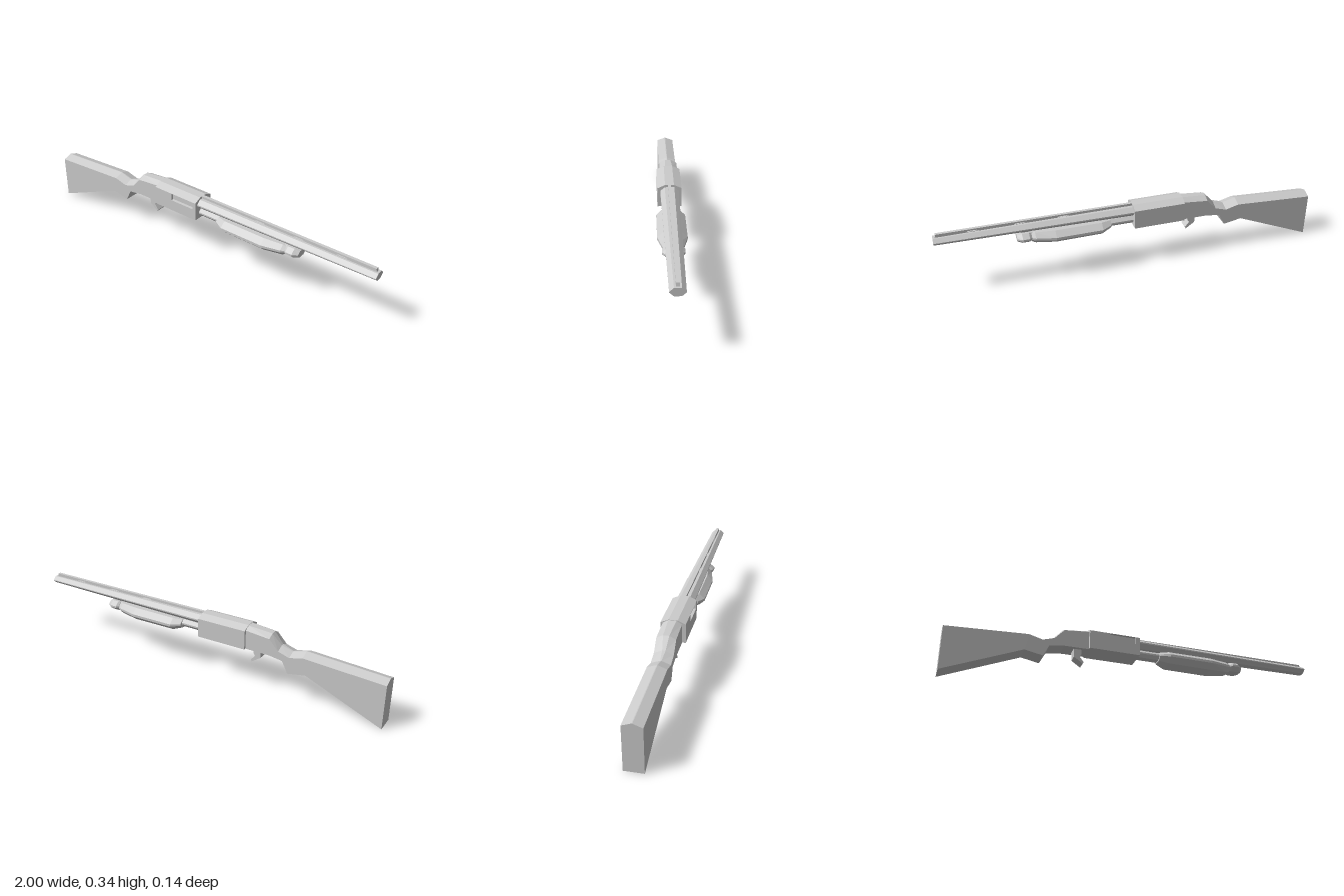
import * as THREE from 'three';

const material = new THREE.MeshStandardMaterial({ color: 0xcccccc, flatShading: true, side: THREE.DoubleSide });

function addMesh(group, name, geometry) {
  const mesh = new THREE.Mesh(geometry, material);
  mesh.name = name;
  group.add(mesh);
  return mesh;
}

// Skin a row of closed sections running along +x; each section is a list of [x, y, z].
function loft(sections) {
  const out = [];
  const tri = (...pts) => pts.forEach(p => out.push(...p));
  const n = sections[0].length;
  for (let i = 0; i < sections.length - 1; i++) {
    for (let j = 0; j < n; j++) {
      const k = (j + 1) % n;
      const a = sections[i][j], d = sections[i][k];
      const b = sections[i + 1][j], c = sections[i + 1][k];
      tri(a, d, c);
      tri(a, c, b);
    }
  }
  const cap = (s, flip) => {
    const mid = [0, 1, 2].map(q => s.reduce((t, p) => t + p[q], 0) / n);
    s.forEach((p, j) => {
      const next = s[(j + 1) % n];
      if (flip) tri(mid, next, p);
      else tri(mid, p, next);
    });
  };
  cap(sections[0], true);
  cap(sections[sections.length - 1], false);
  const g = new THREE.BufferGeometry();
  g.setAttribute('position', new THREE.Float32BufferAttribute(out, 3));
  g.computeVertexNormals();
  return g;
}

// Eight-sided section: half widths of flat and side, heights of bottom, top and the side facets.
function octagon(x, flat, wide, bottom, top, low = 0.4, high = 0.6) {
  const yl = bottom + (top - bottom) * low, yh = bottom + (top - bottom) * high;
  return [[x, top, flat], [x, yh, wide], [x, yl, wide], [x, bottom, flat],
    [x, bottom, -flat], [x, yl, -wide], [x, yh, -wide], [x, top, -flat]];
}

// Side profile with thickness centred on z = 0.
function plate(shape, thickness) {
  return new THREE.ExtrudeGeometry(shape, { depth: thickness, bevelEnabled: false })
    .translate(0, 0, -thickness / 2);
}

export function createModel() {
  const gun = new THREE.Group();
  gun.name = 'pumpShotgun';

  // Stock and grip: [top x, top y, bottom x, bottom y, half width of top flat]
  const w = 0.048, zc = -0.003;
  const stock = [
    [-1, 0.253, -1, 0.003, 0.002],
    [-0.58, 0.276, -0.6, 0.17, 0.002],
    [-0.51, 0.257, -0.505, 0.152, 0.003],
    [-0.45, 0.276, -0.475, 0.213, 0.008],
    [-0.4, 0.33, -0.4, 0.224, 0.015],
    [-0.27, 0.342, -0.27, 0.225, 0.02],
  ].map(([xt, yt, xb, yb, f]) => [
    [xt, yt, zc + f], [xt, yt - 0.017, zc + w], [xb, yb, zc + w],
    [xb, yb, zc - w], [xt, yt - 0.017, zc - w], [xt, yt, zc - f]]);
  addMesh(gun, 'stock', loft(stock));

  // Receiver, with the ejection port cut into its +z side
  const receiver = (x, inset) => [
    [x, 0.344, 0.023], [x, 0.326, 0.063], [x, 0.325, 0.063 - inset], [x, 0.287, 0.063 - inset],
    [x, 0.286, 0.063], [x, 0.225, 0.063], [x, 0.225, -0.063], [x, 0.326, -0.063], [x, 0.344, -0.023]];
  [[-0.27, -0.16, 0], [-0.16, -0.02, 0.014], [-0.02, 0, 0]].forEach(([x0, x1, inset], i) =>
    addMesh(gun, ['receiverRear', 'receiverPort', 'receiverFront'][i],
      loft([receiver(x0, inset), receiver(x1, inset)])));

  // Trigger
  const trigger = new THREE.Shape([
    [-0.345, 0.23], [-0.342, 0.18], [-0.295, 0.148], [-0.29, 0.157],
    [-0.312, 0.185], [-0.303, 0.2], [-0.303, 0.23],
  ].map(p => new THREE.Vector2(...p)));
  addMesh(gun, 'trigger', plate(trigger, 0.052));

  // Tapered barrel
  addMesh(gun, 'barrel', loft([
    octagon(-0.01, 0.025, 0.048, 0.282, 0.332, 0.45, 0.6),
    octagon(1, 0.016, 0.035, 0.29, 0.328, 0.45, 0.55),
  ]));

  // Sighting rib with narrow slots
  const rib = new THREE.Shape([[0, 0.322], [0.99, 0.32], [0.985, 0.344], [0, 0.344]]
    .map(p => new THREE.Vector2(...p)));
  for (const x of [0.33, 0.55, 0.78]) {
    rib.holes.push(new THREE.Path([[x, 0.331], [x + 0.01, 0.336], [x + 0.05, 0.336], [x + 0.06, 0.331]]
      .map(p => new THREE.Vector2(...p))));
  }
  addMesh(gun, 'sightRib', plate(rib, 0.016));

  // Magazine tube below the barrel
  addMesh(gun, 'magazineTube', loft([
    octagon(-0.01, 0.018, 0.033, 0.236, 0.277),
    octagon(0.56, 0.018, 0.033, 0.236, 0.277),
  ]));

  // Sliding fore-end
  addMesh(gun, 'foreEnd', loft([
    octagon(0.12, 0.025, 0.046, 0.23, 0.276),
    octagon(0.17, 0.042, 0.072, 0.215, 0.28),
    octagon(0.41, 0.042, 0.072, 0.213, 0.28),
    octagon(0.51, 0.028, 0.05, 0.22, 0.278),
    octagon(0.53, 0.022, 0.04, 0.228, 0.274),
  ]));

  // Magazine cap and the lug that ties it to the barrel
  addMesh(gun, 'magazineCap', loft([
    octagon(0.528, 0.022, 0.042, 0.232, 0.277),
    octagon(0.54, 0.028, 0.053, 0.23, 0.281),
    octagon(0.575, 0.028, 0.053, 0.23, 0.281),
    octagon(0.6, 0.018, 0.033, 0.236, 0.272),
  ]));
  addMesh(gun, 'barrelLug', new THREE.BoxGeometry(0.04, 0.02, 0.03)).position.set(0.555, 0.284, 0);

  return gun;
}
